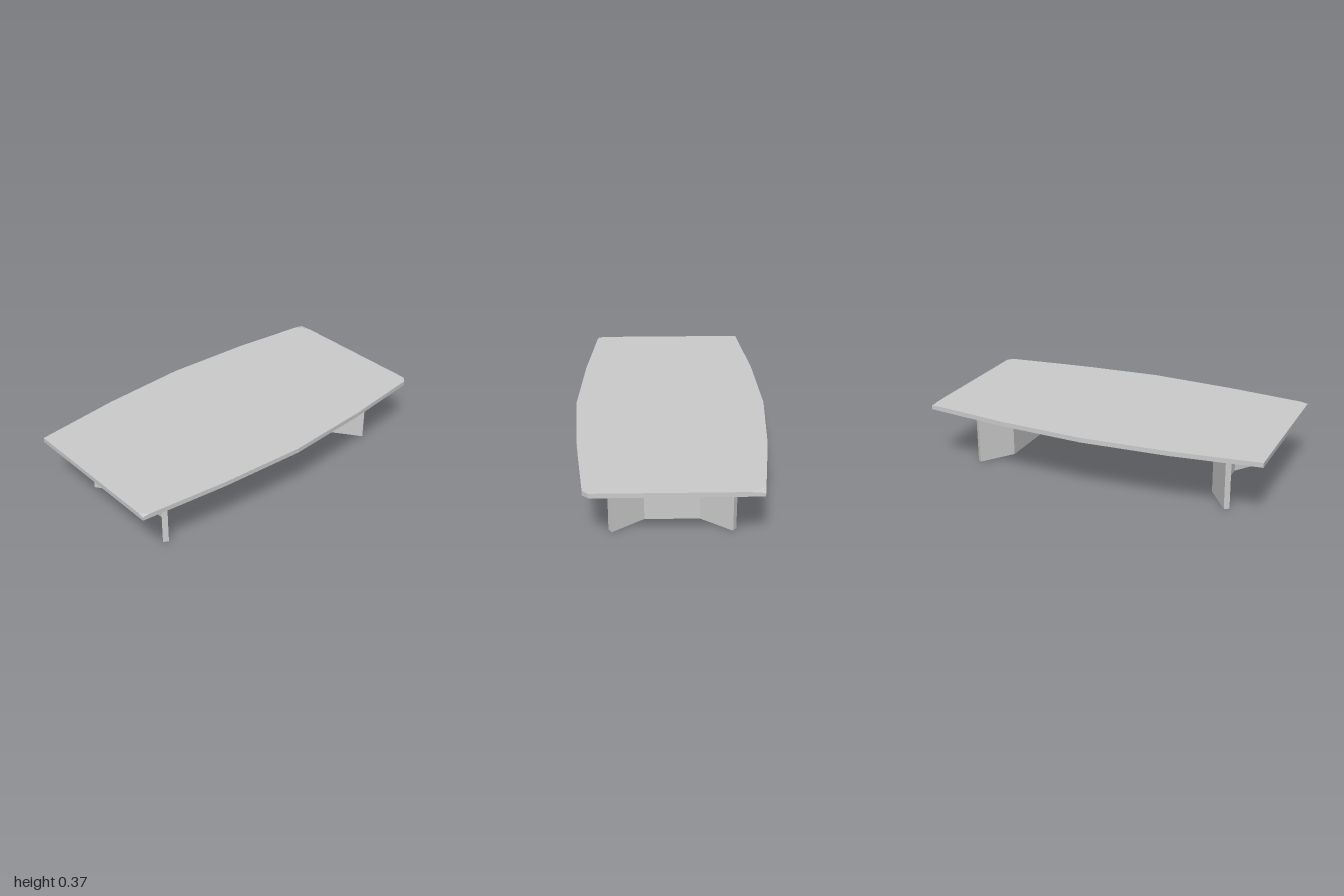
import * as THREE from 'three';
import { ConvexGeometry } from 'three/addons/geometries/ConvexGeometry.js';

const TOP = 0.37, UNDER = 0.343;

export function createModel() {
  const group = new THREE.Group();
  const material = new THREE.MeshStandardMaterial({ color: 0xcccccc, flatShading: true });
  const add = (name, geometry) => {
    const mesh = new THREE.Mesh(geometry, material);
    mesh.name = name;
    group.add(mesh);
    return mesh;
  };

  // Tabletop: bowed plan as a convex slab, with one cut corner and small chips in the upper edge
  const outline = [
    [-1, -0.46], [-0.5, -0.52], [0, -0.548], [0.5, -0.52], [1, -0.46],
    [1, 0.425], [0.97, 0.457], [0.5, 0.511], [0, 0.543], [-0.5, 0.511], [-1, 0.455],
  ];
  const chips = [
    { at: [0.5, 0.511], y: 0.363, rim: [[0.44, 0.515], [0.62, 0.497]] },
    { at: [1, -0.46], y: 0.364, rim: [[1, -0.38], [0.95, -0.466]] },
    { at: [-1, 0.455], y: 0.364, rim: [[-1, 0.42], [-0.96, 0.4595]] },
  ];
  const points = [];
  for (const [x, z] of outline) {
    points.push(new THREE.Vector3(x, UNDER, z));
    const chip = chips.find((c) => c.at[0] === x && c.at[1] === z);
    points.push(new THREE.Vector3(x, chip ? chip.y : TOP, z));
    if (chip) for (const [rx, rz] of chip.rim) points.push(new THREE.Vector3(rx, TOP, rz));
  }
  add('tabletop', new ConvexGeometry(points));

  // Legs: upright folded panels with wings flaring towards the table ends
  const half = [[0.633, 0.162], [0.762, 0.341], [0.788, 0.322], [0.665, 0.15]];
  const plan = [...half, ...half.map(([x, z]) => [x, -z]).reverse()];
  for (const [name, side] of [['leftLeg', 1], ['rightLeg', -1]]) {
    const shape = new THREE.Shape(plan.map(([x, z]) => new THREE.Vector2(side * x, -z)));
    const geometry = new THREE.ExtrudeGeometry(shape, { depth: UNDER, bevelEnabled: false });
    add(name, geometry.rotateX(-Math.PI / 2));
  }

  // Stretcher beam between the legs, tight under the top
  const beam = add('stretcher', new THREE.BoxGeometry(1.268, 0.158, 0.03));
  beam.position.y = UNDER - 0.079;

  return group;
}
